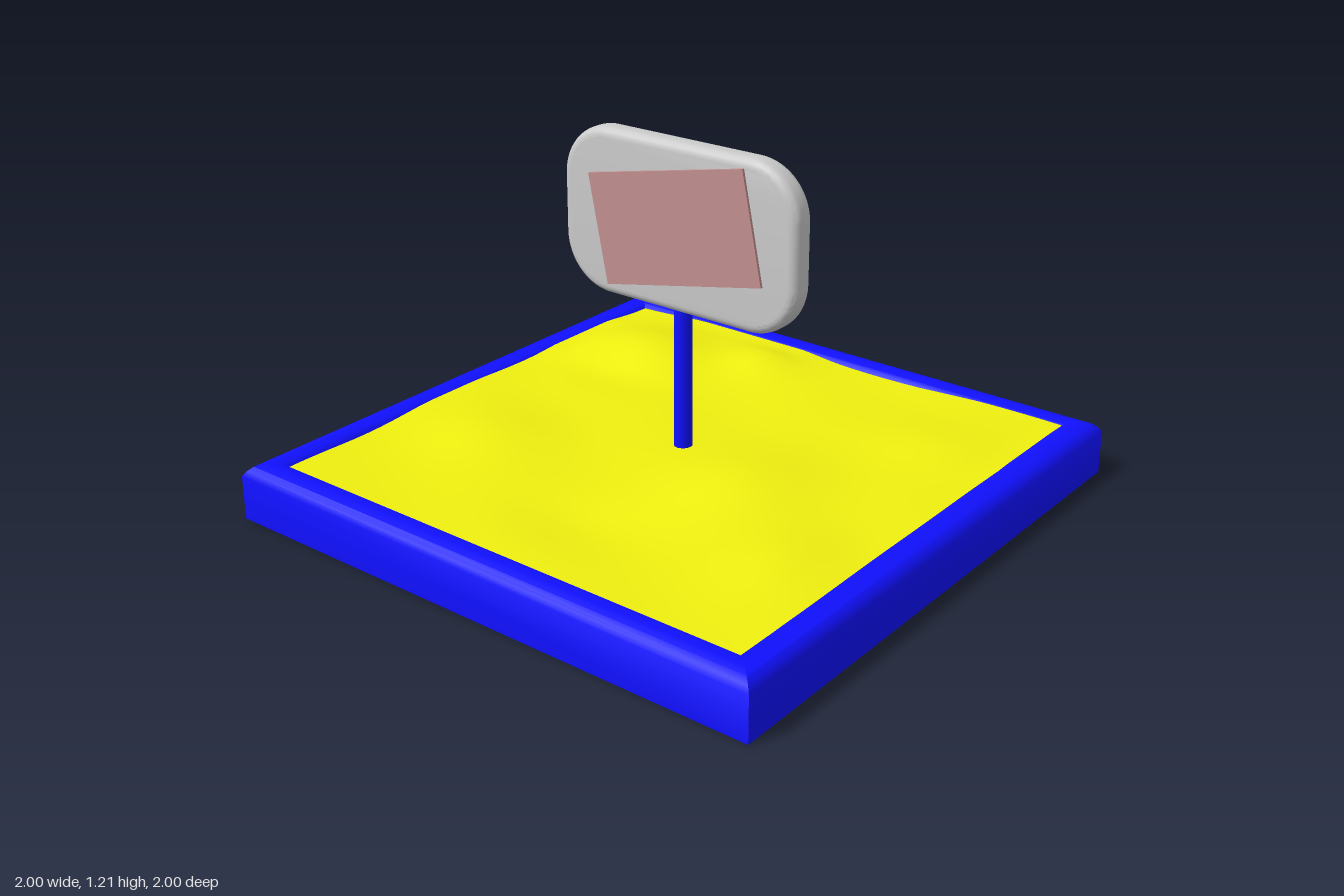
import * as THREE from 'three';
import { toCreasedNormals } from 'three/addons/utils/BufferGeometryUtils.js';

const mat = (color) => new THREE.MeshStandardMaterial({ color });

function addMesh(group, name, geometry, material) {
  const mesh = new THREE.Mesh(geometry, material);
  mesh.name = name;
  group.add(mesh);
  return mesh;
}

// Outline of a rectangle with round corners, centred on the origin
function roundedRect(w, h, r) {
  const x = w / 2 - r, y = h / 2 - r;
  const shape = new THREE.Shape();
  shape.absarc(x, y, r, 0, Math.PI / 2);
  shape.absarc(-x, y, r, Math.PI / 2, Math.PI);
  shape.absarc(-x, -y, r, Math.PI, Math.PI * 1.5);
  shape.absarc(x, -y, r, Math.PI * 1.5, Math.PI * 2);
  shape.closePath();
  return shape;
}

// Sand mounds and hollows: [x, z, height, radius x, radius z]
const MOUNDS = [
  [-0.58, -0.56, 0.046, 0.24, 0.2], [-0.2, -0.72, 0.025, 0.14, 0.14],
  [0.35, 0.08, 0.036, 0.22, 0.26], [0.65, -0.5, 0.022, 0.22, 0.2],
  [-0.55, 0.3, 0.02, 0.22, 0.2], [0.7, 0.4, 0.018, 0.15, 0.2],
  [-0.55, -0.3, -0.012, 0.2, 0.12], [0.05, 0.62, -0.014, 0.22, 0.15],
];

function sandHeight(x, z) {
  let y = 0.176 + 0.004 * Math.sin(5 * x + 3 * z) + 0.003 * Math.sin(9 * z - 6 * x + 1);
  for (const [mx, mz, h, rx, rz] of MOUNDS) {
    y += h * Math.exp(-(((x - mx) / rx) ** 2) - ((z - mz) / rz) ** 2);
  }
  // keep the sand below the top of the rim at the edges
  const edge = THREE.MathUtils.smoothstep(Math.max(Math.abs(x), Math.abs(z)), 0.76, 0.9);
  return THREE.MathUtils.lerp(y, Math.min(y, 0.182), edge);
}

export function createModel() {
  const model = new THREE.Group();
  const blue = mat(0x1010ff);

  // Square tray with a rounded rim: a four-sided lathe, mitred at the corners
  const profile = [
    [0, 0], [1, 0], [1, 0.15], [0.988, 0.168], [0.972, 0.182], [0.945, 0.19],
    [0.925, 0.19], [0.905, 0.184], [0.89, 0.172], [0.882, 0.15], [0.88, 0.1], [0, 0.1],
  ].map(([x, y]) => new THREE.Vector2(x * Math.SQRT2, y));
  const tray = new THREE.LatheGeometry(profile, 4, Math.PI / 4);
  addMesh(model, 'tray', toCreasedNormals(tray, 0.7), blue);

  // Rolling sand surface
  const sand = new THREE.PlaneGeometry(1.8, 1.8, 72, 72).rotateX(-Math.PI / 2);
  const pos = sand.attributes.position;
  for (let i = 0; i < pos.count; i++) pos.setY(i, sandHeight(pos.getX(i), pos.getZ(i)));
  sand.computeVertexNormals();
  addMesh(model, 'sand', sand, mat(0xf0f010)).material.side = THREE.DoubleSide;

  // Post
  addMesh(model, 'post', new THREE.CylinderGeometry(0.03, 0.03, 0.6, 24), blue).position.y = 0.4;

  // Sign board with softened edges
  const bevel = 0.03;
  const board = new THREE.ExtrudeGeometry(roundedRect(0.915 - 2 * bevel, 0.555 - 2 * bevel, 0.15), {
    depth: 0.088 - 2 * bevel, bevelThickness: bevel, bevelSize: bevel, bevelSegments: 5, curveSegments: 10,
  });
  board.translate(0, 0, -0.044 + bevel);
  addMesh(model, 'signBoard', toCreasedNormals(board, 0.6), mat(0xcccccc)).position.y = 0.9325;

  // Tilted panel on the front of the sign
  const panel = addMesh(model, 'signPanel', new THREE.BoxGeometry(0.618, 0.367, 0.02), mat(0xc39090));
  panel.position.set(-0.0025, 0.9375, 0.043);
  panel.rotation.z = 0.204;

  return model;
}
